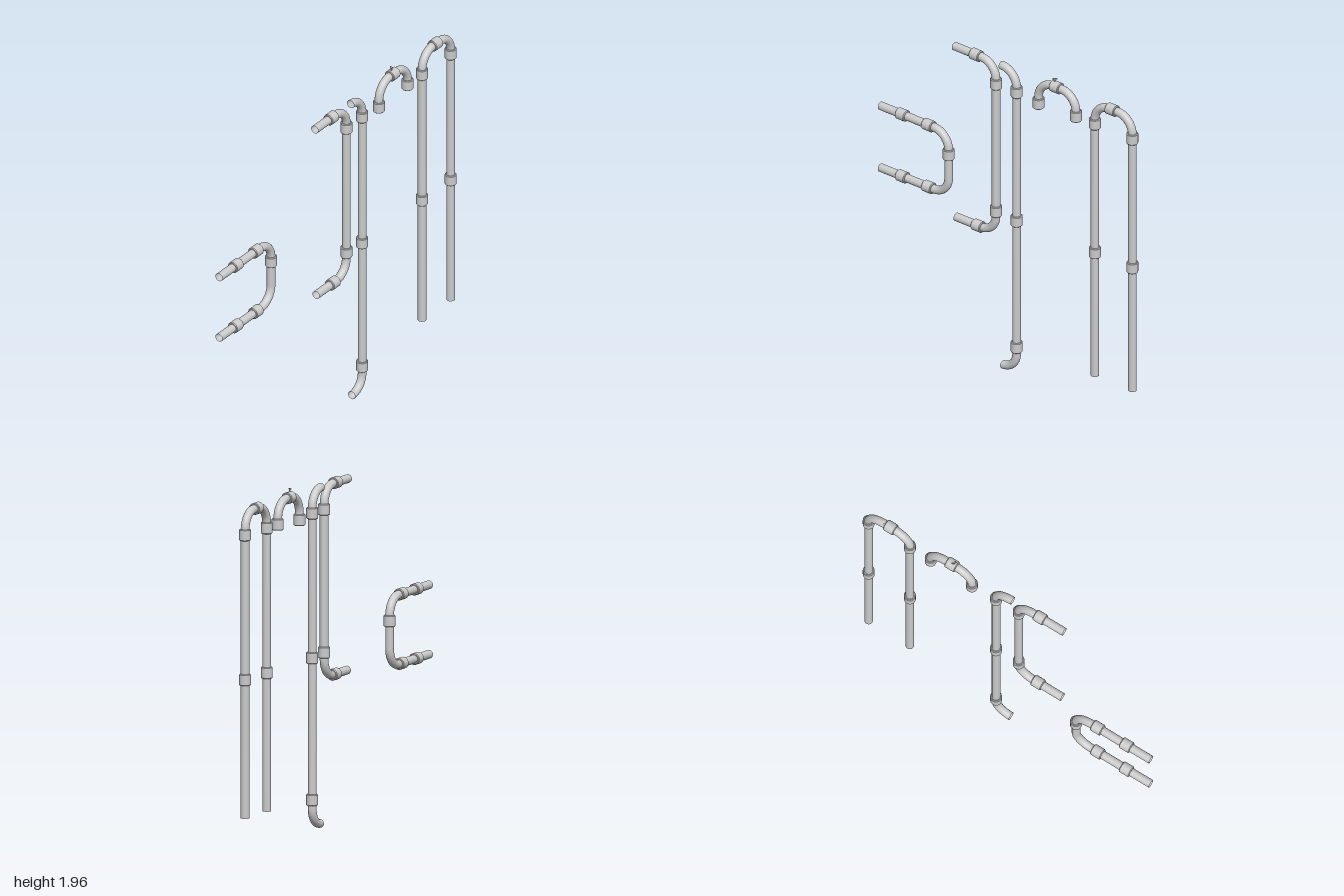
import * as THREE from 'three';

const PIPE_R = 0.024, COLLAR_R = 0.033, COLLAR_H = 0.064, BEND = 0.105;
const material = new THREE.MeshStandardMaterial({ color: 0xcccccc, side: THREE.DoubleSide });

function addMesh(parent, name, geometry) {
  const mesh = new THREE.Mesh(geometry, material);
  mesh.name = name;
  parent.add(mesh);
  return mesh;
}

// Pipe along [x, y] corners: straight lengths joined by rounded elbows
function addPipe(group, corners) {
  const pts = corners.map(([x, y]) => new THREE.Vector3(x, y, 0));
  let start = pts[0];
  const straight = (a, b) => {
    if (a.distanceTo(b) > 0.001)
      addMesh(group, 'straightPipe', new THREE.TubeGeometry(new THREE.LineCurve3(a, b), 1, PIPE_R, 24));
  };
  for (let i = 1; i < pts.length - 1; i++) {
    const corner = pts[i];
    const back = pts[i - 1].clone().sub(corner);
    const ahead = pts[i + 1].clone().sub(corner);
    const r = Math.min(BEND, back.length(), ahead.length());
    back.normalize();
    ahead.normalize();
    const a = corner.clone().addScaledVector(back, r);
    const b = corner.clone().addScaledVector(ahead, r);
    const k = r * (1 - 0.5523);
    straight(start, a);
    const arc = new THREE.CubicBezierCurve3(a,
      corner.clone().addScaledVector(back, k), corner.clone().addScaledVector(ahead, k), b);
    addMesh(group, 'elbow', new THREE.TubeGeometry(arc, 14, PIPE_R, 24));
    start = b;
  }
  straight(start, pts[pts.length - 1]);
}

// Sleeve with small chamfered shoulders; repeated profile points keep edges crisp
function collarGeometry() {
  const h = COLLAR_H / 2, c = 0.004;
  const profile = [
    [PIPE_R, -h], [COLLAR_R - c, -h], [COLLAR_R - c, -h], [COLLAR_R, -h + c], [COLLAR_R, -h + c],
    [COLLAR_R, h - c], [COLLAR_R, h - c], [COLLAR_R - c, h], [COLLAR_R - c, h], [PIPE_R, h],
  ].map(([x, y]) => new THREE.Vector2(x, y));
  return new THREE.LatheGeometry(profile, 24);
}

// Each run: pipe corners, collars on vertical lengths, collars on horizontal lengths
const runs = [
  { name: 'sideLoop', z: -0.083,
    path: [[-1, 1.225], [-0.507, 1.225], [-0.507, 0.835], [-1, 0.835]],
    vertical: [[-0.507, 1.095]],
    horizontal: [[-0.84, 1.225], [-0.65, 1.225], [-0.84, 0.835], [-0.65, 0.835]] },
  { name: 'bracketPipe', z: 0.083,
    path: [[-0.324, 1.908], [-0.024, 1.908], [-0.024, 0.835], [-0.312, 0.835]],
    vertical: [[-0.024, 1.78], [-0.024, 0.977]],
    horizontal: [[-0.166, 1.908], [-0.152, 0.835]] },
  { name: 'tallDownpipe', z: 0.083,
    path: [[0.015, 1.908], [0.125, 1.908], [0.125, 0.024], [0.026, 0.024]],
    vertical: [[0.125, 1.78], [0.125, 0.968], [0.125, 0.171]],
    horizontal: [] },
  { name: 'valveArch', z: 0.083,
    path: [[0.284, 1.74], [0.284, 1.908], [0.555, 1.908], [0.555, 1.755]],
    vertical: [[0.284, 1.766], [0.555, 1.78]],
    horizontal: [[0.414, 1.908]] },
  { name: 'tallArch', z: 0.083,
    path: [[0.692, 0.19], [0.692, 1.908], [0.963, 1.908], [0.963, 0.19]],
    vertical: [[0.692, 1.78], [0.963, 1.78], [0.692, 0.968], [0.963, 0.968]],
    horizontal: [[0.818, 1.908]] },
];

export function createModel() {
  const model = new THREE.Group();
  model.name = 'pipeSet';
  const collar = collarGeometry();

  for (const run of runs) {
    const group = new THREE.Group();
    group.name = run.name;
    group.position.z = run.z;
    addPipe(group, run.path);
    for (const [x, y] of run.vertical) addMesh(group, 'collar', collar).position.set(x, y, 0);
    for (const [x, y] of run.horizontal) {
      const sleeve = addMesh(group, 'collar', collar);
      sleeve.position.set(x, y, 0);
      sleeve.rotation.z = Math.PI / 2;
    }
    model.add(group);
  }

  // Small tap on the crown of the short arch
  const valve = new THREE.Group();
  valve.name = 'valve';
  valve.position.set(0.402, 1.935, 0.083);
  addMesh(valve, 'valveStem', new THREE.CylinderGeometry(0.004, 0.005, 0.024, 10)).position.y = 0.01;
  const handle = addMesh(valve, 'valveHandle', new THREE.BoxGeometry(0.026, 0.006, 0.008));
  handle.position.y = 0.021;
  handle.rotation.y = Math.PI / 3.5;
  model.add(valve);

  return model;
}
